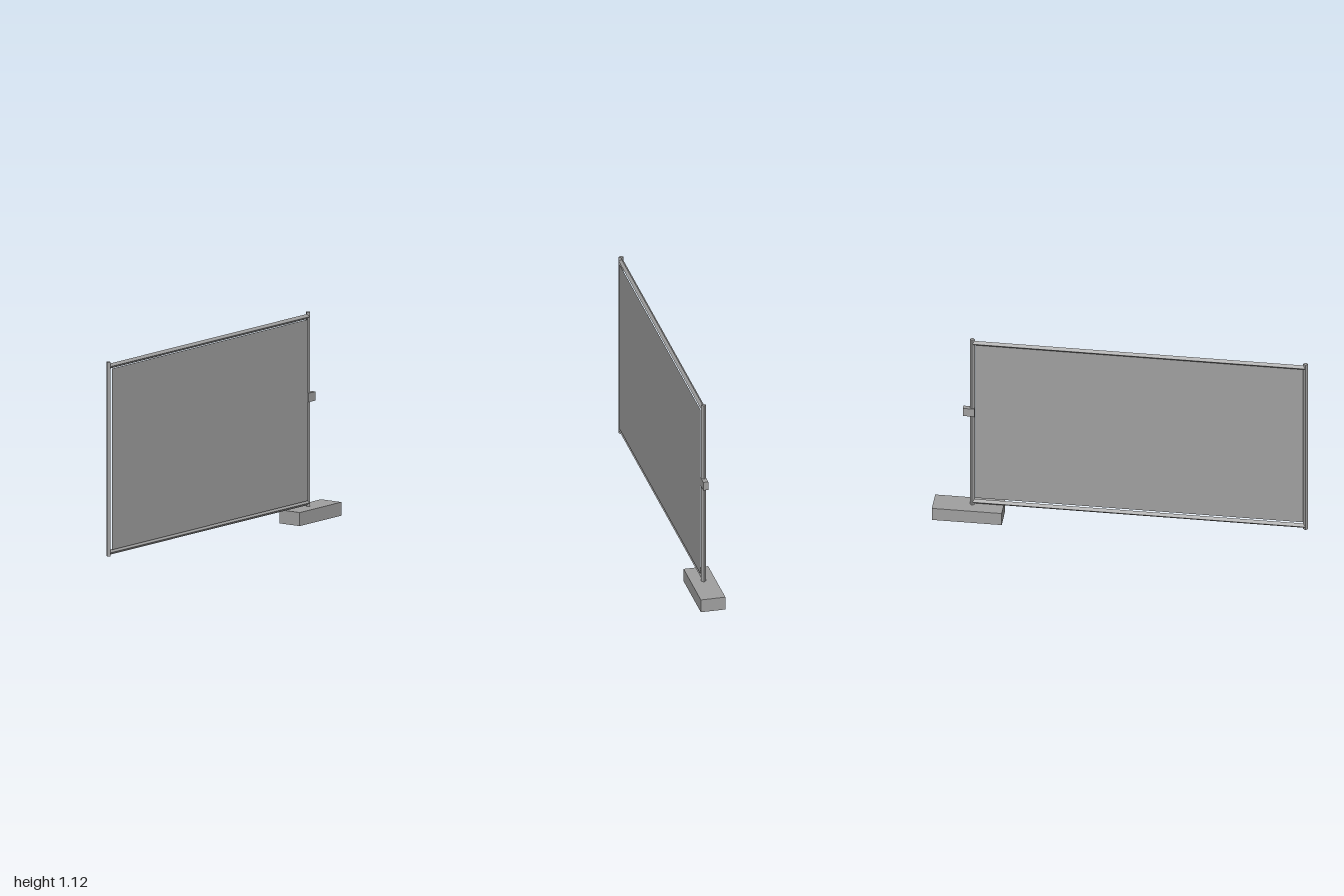
import * as THREE from 'three';

const grey = new THREE.MeshStandardMaterial({ color: 0xa0a0a0, flatShading: true, side: THREE.DoubleSide });
grey.name = 'galvanised grey';

// Four-sided tube standing on its corner, along y or x
function tube(name, length, x, y, horizontal) {
  const geometry = new THREE.CylinderGeometry(0.0135, 0.0135, length, 4);
  if (horizontal) geometry.rotateZ(Math.PI / 2);
  const mesh = new THREE.Mesh(geometry, grey);
  mesh.name = name;
  mesh.position.set(x, y, 0);
  return mesh;
}

// Box without a bottom, given by its extents in x and y
function openBox(name, x0, x1, y0, y1, depth) {
  const geometry = new THREE.BoxGeometry(x1 - x0, y1 - y0, depth);
  // faces come in groups of six indices; the fourth is the bottom
  const index = Array.from(geometry.index.array);
  index.splice(18, 6);
  geometry.setIndex(index);
  geometry.clearGroups();
  const mesh = new THREE.Mesh(geometry, grey);
  mesh.name = name;
  mesh.position.set((x0 + x1) / 2, (y0 + y1) / 2, 0);
  return mesh;
}

export function createModel() {
  const model = new THREE.Group();
  model.name = 'fencePanel';
  const left = 0.793, right = -0.9865;
  const middle = (left + right) / 2;

  // Frame posts
  for (const [name, x] of [['leftPost', left], ['rightPost', right]]) {
    model.add(tube(name, 1.045, x, 0.598, false));
  }
  // Frame rails
  for (const [name, y] of [['topRail', 1.097], ['bottomRail', 0.095]]) {
    model.add(tube(name, left - right, middle, y, true));
  }

  // Mesh infill, set to the front of the frame
  const infill = new THREE.Mesh(new THREE.PlaneGeometry(1.75, 0.976), grey);
  infill.name = 'infillSheet';
  infill.position.set(-0.098, 0.596, 0.012);
  model.add(infill);

  // Coupling clamp on the left post
  model.add(openBox('clamp', 0.78, 0.842, 0.638, 0.686, 0.027));

  // Hollow foot block with its inner ceiling
  model.add(openBox('foot', 0.627, 1.0, 0, 0.073, 0.134));
  const ceiling = new THREE.Mesh(new THREE.PlaneGeometry(0.372, 0.133).rotateX(Math.PI / 2), grey);
  ceiling.name = 'footCeiling';
  ceiling.position.set(0.8135, 0.036, 0);
  model.add(ceiling);

  return model;
}
